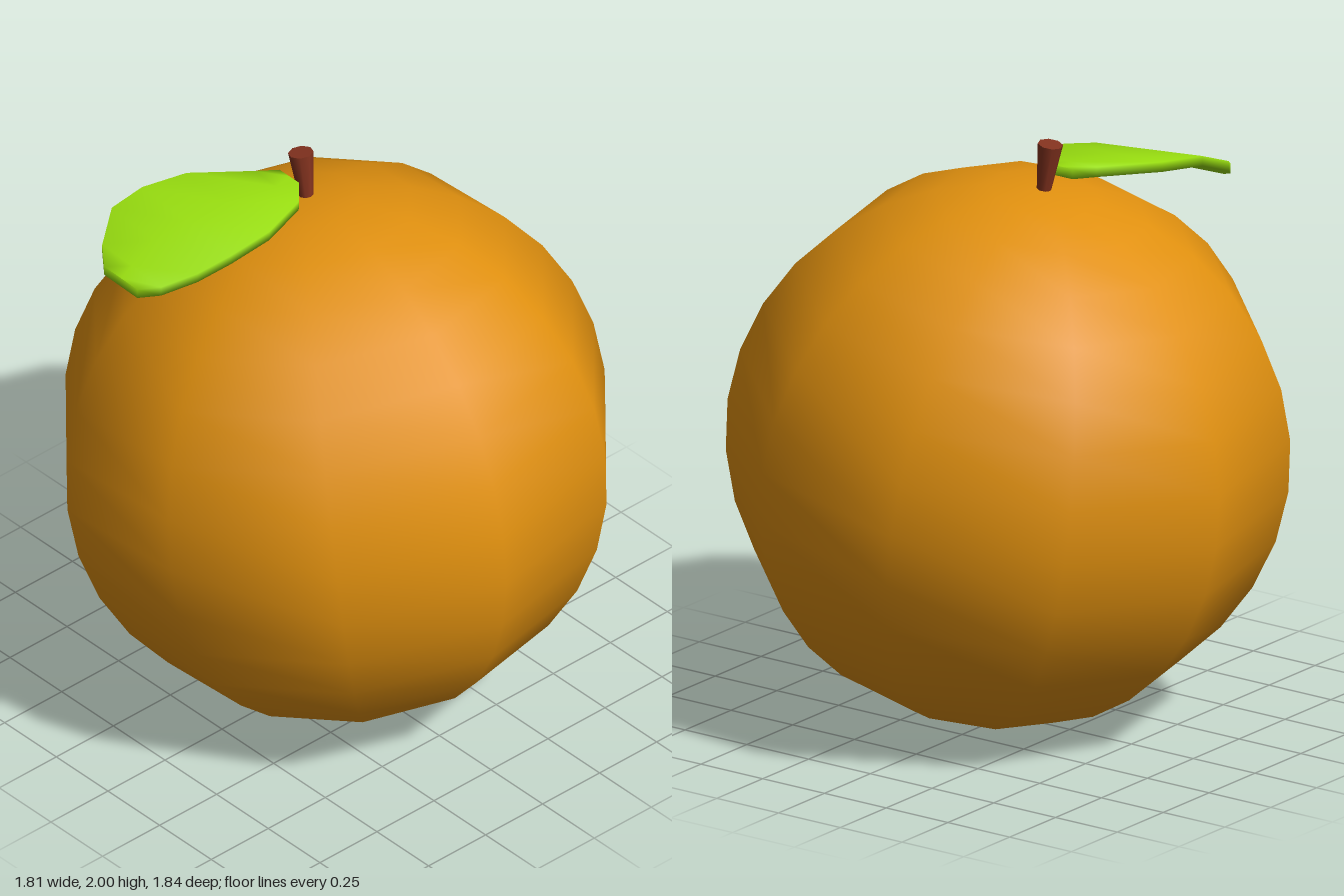
import * as THREE from 'three';

const orange = new THREE.MeshStandardMaterial({ color: 0xe0900f });
orange.name = 'orange peel';
const green = new THREE.MeshStandardMaterial({ color: 0x9ae010 });
green.name = 'leaf green';
const brown = new THREE.MeshStandardMaterial({ color: 0x84331f });
brown.name = 'stem brown';

function part(name, geometry, material) {
  const mesh = new THREE.Mesh(geometry, material);
  mesh.name = name;
  return mesh;
}

// Thick curved leaf lofted through sections: [x, back z, front z, back y, front y]
function leafGeometry() {
  const sections = [
    [-0.035, -0.235, -0.14, 1.89, 1.89],
    [-0.1, -0.285, -0.07, 1.89, 1.885],
    [-0.27, -0.425, -0.025, 1.89, 1.873],
    [-0.42, -0.475, -0.045, 1.88, 1.84],
    [-0.53, -0.5, -0.085, 1.838, 1.8],
    [-0.64, -0.425, -0.14, 1.785, 1.77],
    [-0.69, -0.36, -0.2, 1.757, 1.752],
  ];
  const half = 0.017, n = 6, positions = [], indices = [];
  for (const [x, zb, zf, yb, yf] of sections) {
    const zm = (zb + zf) / 2, ym = (yb + yf) / 2;
    positions.push(
      x, yb + half, zb, x, ym + half, zm, x, yf + half, zf,
      x, yf - half, zf, x, ym - half, zm, x, yb - half, zb);
  }
  for (let i = 0; i < sections.length - 1; i++) {
    for (let j = 0; j < n; j++) {
      const a = i * n + j, b = i * n + (j + 1) % n;
      indices.push(a, a + n, b, b, a + n, b + n);
    }
  }
  // End caps
  const last = (sections.length - 1) * n;
  for (let j = 1; j < n - 1; j++) {
    indices.push(0, j, j + 1, last, last + j + 1, last + j);
  }
  const geometry = new THREE.BufferGeometry();
  geometry.setAttribute('position', new THREE.Float32BufferAttribute(positions, 3));
  geometry.setIndex(indices);
  geometry.computeVertexNormals();
  return geometry;
}

export function createModel() {
  const model = new THREE.Group();
  model.name = 'orangeFruit';

  // Fruit and stem lean back together
  const tilted = new THREE.Group();
  tilted.name = 'fruitWithStem';
  tilted.position.y = 0.924;
  tilted.rotation.x = THREE.MathUtils.degToRad(-9.3);

  const phiStart = THREE.MathUtils.degToRad(12.5);
  tilted.add(part('fruit', new THREE.SphereGeometry(0.925, 10, 16, phiStart), orange));

  const stem = part('stem', new THREE.CylinderGeometry(0.042, 0.022, 0.182, 8), brown);
  stem.position.set(0.004, 0.991, 0);
  tilted.add(stem);

  model.add(tilted, part('leaf', leafGeometry(), green));
  return model;
}
